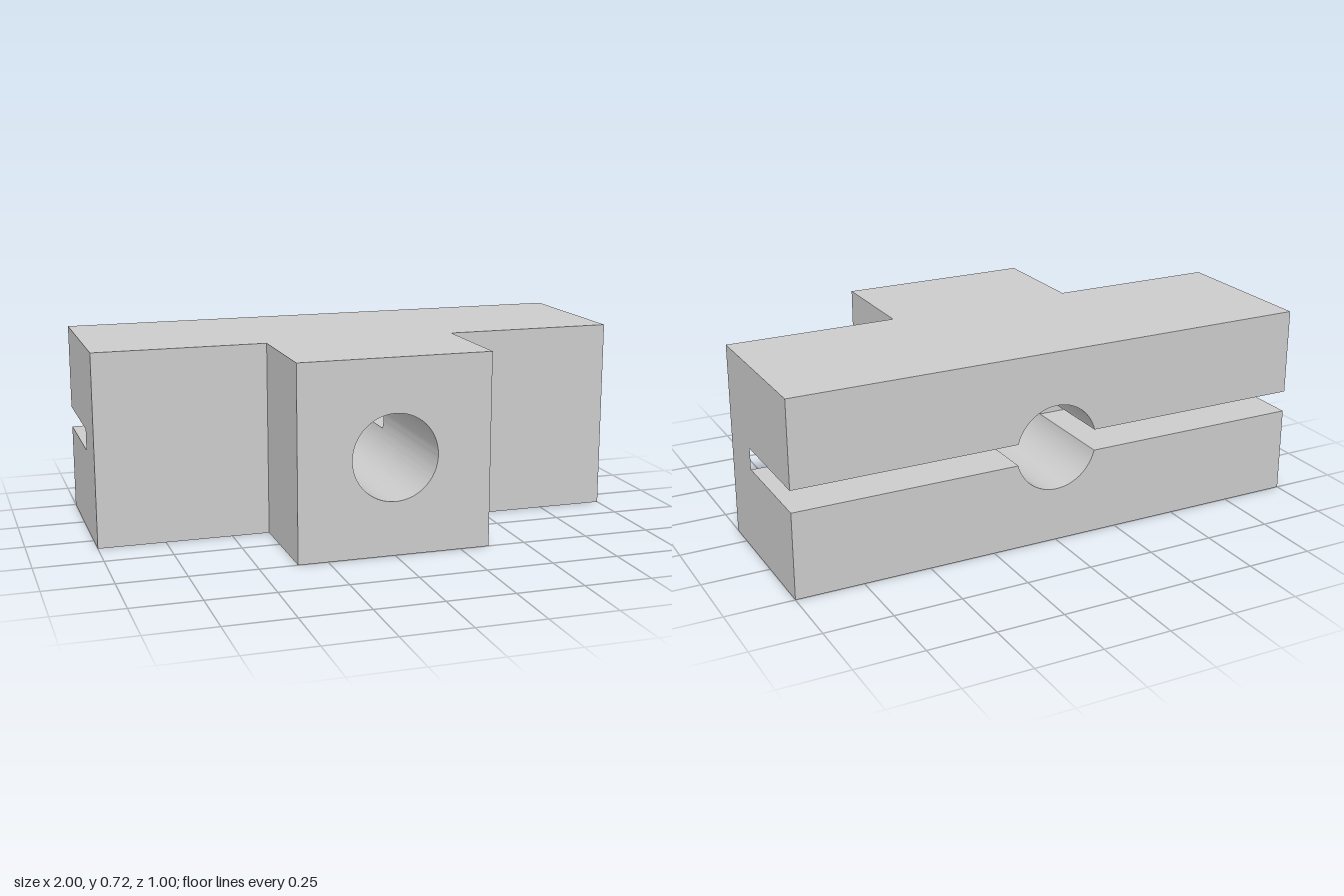
import * as THREE from 'three';
import { mergeGeometries, toCreasedNormals } from 'three/addons/utils/BufferGeometryUtils.js';

const HALF_LENGTH = 1, HALF_HEIGHT = 0.36, HALF_BOSS = 0.36;
const BORE = 0.16, HALF_SLOT = 0.04;
const FRONT = 0.5, SHOULDER = 0.1, SLOT_FLOOR = -0.1, BACK = -0.5;
const SLOT_ANGLE = Math.asin(HALF_SLOT / BORE); // where the slot meets the bore

const polygon = (points) => new THREE.Shape(points.map(([x, y]) => new THREE.Vector2(x, y)));

const rectangle = (x0, x1) =>
  polygon([[x0, -HALF_HEIGHT], [x1, -HALF_HEIGHT], [x1, HALF_HEIGHT], [x0, HALF_HEIGHT]]);

function boredRectangle(halfWidth) {
  const shape = rectangle(-halfWidth, halfWidth);
  shape.holes.push(new THREE.Path().absarc(0, 0, BORE, 0, Math.PI * 2, true));
  return shape;
}

// Side walls of an extrusion from z0 to z1, without its end caps
function walls(shape, z0, z1, segments = 64) {
  const solid = new THREE.ExtrudeGeometry(shape, { depth: z1 - z0, bevelEnabled: false, curveSegments: segments });
  const { start, count } = solid.groups[1];
  const geometry = new THREE.BufferGeometry();
  for (const name of ['position', 'normal', 'uv']) {
    const { array, itemSize } = solid.getAttribute(name);
    geometry.setAttribute(name, new THREE.BufferAttribute(array.slice(start * itemSize, (start + count) * itemSize), itemSize));
  }
  return geometry.translate(0, 0, z0);
}

// Flat end face at z, facing the front or the back
function cap(shape, z, facesBack = false, segments = 64) {
  const geometry = new THREE.ShapeGeometry(shape, segments).toNonIndexed();
  if (facesBack) geometry.rotateY(Math.PI);
  return geometry.translate(0, 0, z);
}

export function createModel() {
  const group = new THREE.Group();
  group.name = 'slottedTeeBlock';
  const material = new THREE.MeshStandardMaterial({ color: 0xcccccc });

  function add(name, geometries, turn = 0) {
    const mesh = new THREE.Mesh(toCreasedNormals(mergeGeometries(geometries), 0.5), material);
    mesh.name = name;
    mesh.position.y = HALF_HEIGHT;
    mesh.rotation.z = turn;
    group.add(mesh);
  }

  // Front boss with the bore running through it
  const bossShape = boredRectangle(HALF_BOSS);
  add('frontBoss', [walls(bossShape, SHOULDER, FRONT), cap(bossShape, FRONT)]);

  // Solid web of the crossbar, with a shoulder on each side of the boss
  add('crossbarWeb', [
    walls(boredRectangle(HALF_LENGTH), SLOT_FLOOR, SHOULDER),
    cap(rectangle(HALF_BOSS, HALF_LENGTH), SHOULDER),
    cap(rectangle(-HALF_LENGTH, -HALF_BOSS), SHOULDER),
  ]);

  // Jaw above the slot, notched by the bore
  const jawShape = polygon([[HALF_LENGTH, HALF_SLOT], [HALF_LENGTH, HALF_HEIGHT],
    [-HALF_LENGTH, HALF_HEIGHT], [-HALF_LENGTH, HALF_SLOT]]);
  jawShape.absarc(0, 0, BORE, Math.PI - SLOT_ANGLE, SLOT_ANGLE, true);

  // Slot floor on one side of the bore
  const floorShape = polygon([[HALF_LENGTH, HALF_SLOT]]);
  floorShape.absarc(0, 0, BORE, SLOT_ANGLE, -SLOT_ANGLE, true);
  floorShape.lineTo(HALF_LENGTH, -HALF_SLOT);

  // Half-turn symmetry gives the lower jaw and the other floor
  for (const [jaw, floor, turn] of [['upperJaw', 'slotFloorRight', 0], ['lowerJaw', 'slotFloorLeft', Math.PI]]) {
    add(jaw, [walls(jawShape, BACK, SLOT_FLOOR, 32), cap(jawShape, BACK, true, 32)], turn);
    add(floor, [cap(floorShape, SLOT_FLOOR, true, 8)], turn);
  }
  return group;
}
